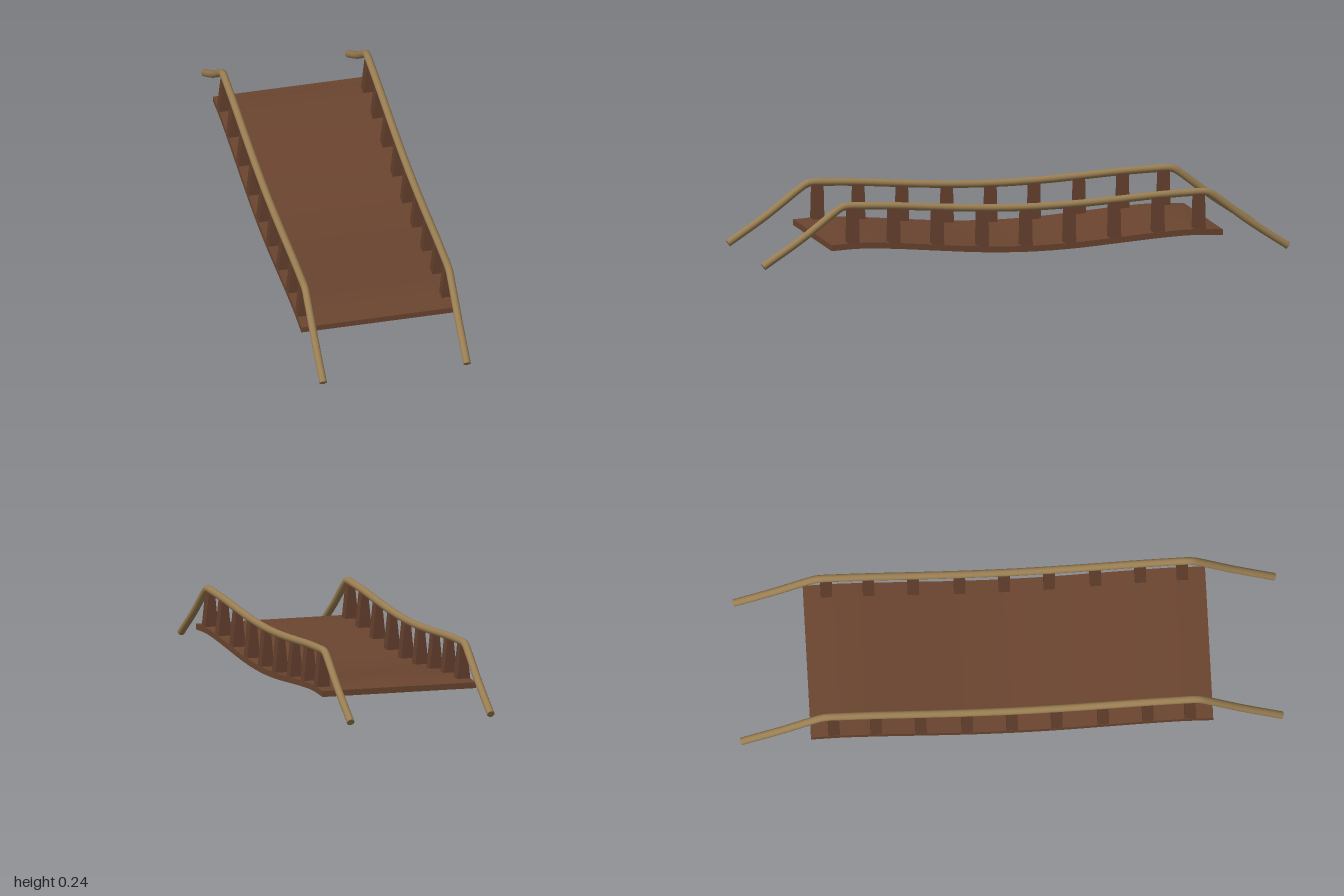
import * as THREE from 'three';

const wood = new THREE.MeshStandardMaterial({ color: 0x6b4530, roughness: 0.9, flatShading: true });
const postWood = new THREE.MeshStandardMaterial({ color: 0x64402e, roughness: 0.9, flatShading: true });
const railWood = new THREE.MeshStandardMaterial({ color: 0x9a7e52, roughness: 0.9 });

const RAIL_X = 0.271, RAIL_R = 0.014, DECK_W = 0.594, THICK = 0.022;

// Mirror a half list of [z, y] (from the middle outward) into a full curve
function mirrored(half, x = 0) {
  const v = ([z, y], s) => new THREE.Vector3(x, y, s * z);
  return [...half.slice(1).reverse().map(p => v(p, -1)), ...half.map(p => v(p, 1))];
}

const deckCurve = new THREE.CatmullRomCurve3(
  mirrored([[0, 0.055], [0.17, 0.06], [0.34, 0.073], [0.5, 0.086], [0.63, 0.092], [0.74, 0.087]]));
const railHalf = [[0, 0.195], [0.17, 0.199], [0.34, 0.209], [0.5, 0.22], [0.62, 0.225], [0.675, 0.226],
  [0.695, 0.222], [0.72, 0.206], [0.845, 0.111], [0.993, 0.012]];

// Height of a curve at z, by linear search through samples
function heightAt(points, z) {
  const i = Math.max(1, points.findIndex(p => p.z >= z));
  const a = points[i - 1], b = points[i];
  return a.y + (b.y - a.y) * (z - a.z) / (b.z - a.z);
}

export function createModel() {
  const group = new THREE.Group();
  const deckPts = deckCurve.getPoints(40);

  // Sagging deck slab: side outline extruded across the width
  const outline = new THREE.Shape([
    ...deckPts.map(p => new THREE.Vector2(p.z, p.y - THICK)),
    ...deckPts.slice().reverse().map(p => new THREE.Vector2(p.z, p.y))]);
  const deckGeo = new THREE.ExtrudeGeometry(outline, { depth: DECK_W, bevelEnabled: false });
  deckGeo.translate(0, 0, -DECK_W / 2).rotateY(-Math.PI / 2);
  const deck = new THREE.Mesh(deckGeo, wood);
  deck.name = 'deck';
  group.add(deck);

  for (const side of [-1, 1]) {
    const sideName = side > 0 ? 'left' : 'right';

    // Handrail that slopes to the ground at both ends
    const rail = new THREE.Group();
    rail.name = sideName + 'Handrail';
    const curve = new THREE.CatmullRomCurve3(mirrored(railHalf, side * RAIL_X), false, 'centripetal');
    const tube = new THREE.Mesh(new THREE.TubeGeometry(curve, 120, RAIL_R, 14), railWood);
    tube.name = 'rail';
    rail.add(tube);
    for (const t of [0, 1]) {
      const cap = new THREE.Mesh(new THREE.CircleGeometry(RAIL_R, 14), railWood);
      cap.name = 'railEnd';
      const p = curve.getPoint(t), dir = curve.getTangent(t).multiplyScalar(t ? 1 : -1);
      cap.position.copy(p);
      cap.lookAt(p.clone().add(dir));
      rail.add(cap);
    }
    group.add(rail);

    // Posts, wide at the foot and narrow under the rail
    const railPts = curve.getPoints(150);
    for (const z of [-0.655, -0.5, -0.335, -0.165, 0, 0.165, 0.335, 0.5, 0.655]) {
      const bottom = heightAt(deckPts, z) - 0.008, top = heightAt(railPts, z);
      const geo = new THREE.BoxGeometry(0.052, top - bottom, 0.042);
      const pos = geo.attributes.position;
      for (let i = 0; i < pos.count; i++) if (pos.getY(i) > 0) pos.setX(i, pos.getX(i) * 0.42);
      geo.computeVertexNormals();
      const post = new THREE.Mesh(geo, postWood);
      post.name = sideName + 'Post';
      post.position.set(side * RAIL_X, (top + bottom) / 2, z);
      group.add(post);
    }
  }
  return group;
}
